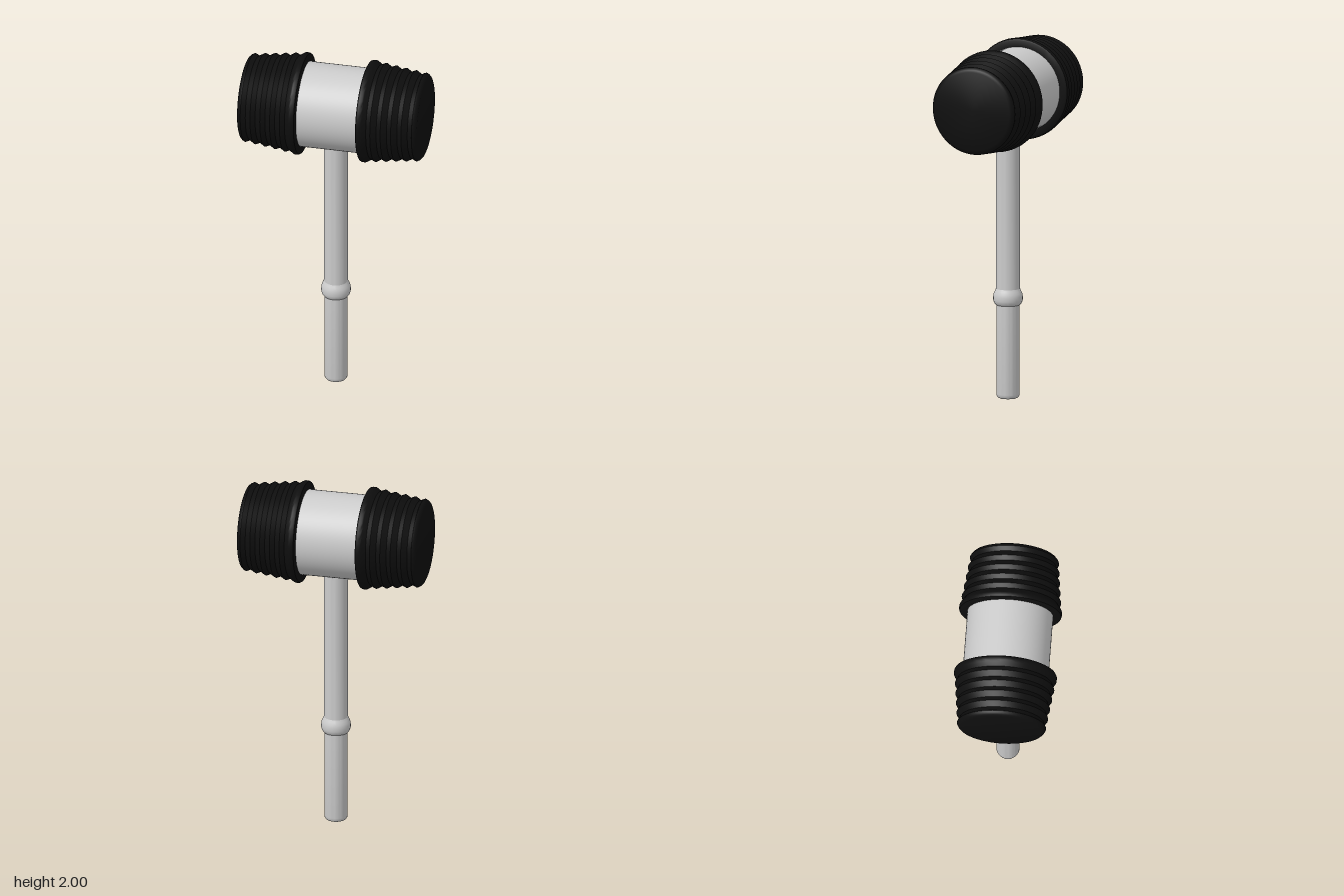
import * as THREE from 'three';
import { toCreasedNormals } from 'three/addons/utils/BufferGeometryUtils.js';

const HEAD_Y = 1.715;

// Turned part from [radius, height] pairs, listed from bottom to top
function turned(name, profile, color, segments = 48) {
  const points = profile.map(([r, h]) => new THREE.Vector2(r, h));
  const geometry = toCreasedNormals(new THREE.LatheGeometry(points, segments), 0.6);
  const mesh = new THREE.Mesh(geometry, new THREE.MeshStandardMaterial({ color }));
  mesh.name = name;
  return mesh;
}

export function createModel() {
  const model = new THREE.Group();
  model.name = 'mallet';
  const grey = 0xcccccc, black = 0x0e0e0e;

  // Handle: rounded butt, grip, bulging collar and shaft
  model.add(turned('grip', [
    [0, 0], [0.05, 0], [0.058, 0.004], [0.063, 0.012], [0.065, 0.025], [0.065, 0.54],
  ], grey));
  model.add(turned('collar', [
    [0.06, 0.525], [0.07, 0.53], [0.078, 0.541], [0.082, 0.556], [0.082, 0.576],
    [0.079, 0.593], [0.072, 0.607], [0.066, 0.62],
  ], grey));
  model.add(turned('shaft', [[0.066, 0.6], [0.066, HEAD_Y - 0.2]], grey));

  // Head barrel lying along x
  const barrel = turned('headBarrel', [[0.239, -0.25], [0.239, 0.25]], grey, 64);
  barrel.rotation.z = -Math.PI / 2;
  barrel.position.y = HEAD_Y;
  model.add(barrel);

  // Rubber cap: rounded rim, tapering saw-tooth ridges, rounded striking face
  const cap = [[0.235, 0.173], [0.274, 0.173], [0.282, 0.177], [0.286, 0.185],
    [0.286, 0.2], [0.282, 0.208]];
  for (let i = 0; i < 5; i++) {
    const x = 0.232 + i * 0.0575;
    const r = 0.265 - i * 0.0072;
    cap.push([r, x], [r + 0.012, x + 0.026]);
  }
  cap.push([0.247, 0.488], [0.243, 0.498], [0.234, 0.507], [0.222, 0.512], [0, 0.512]);

  for (const side of [1, -1]) {
    const mesh = turned(side > 0 ? 'leftCap' : 'rightCap', cap, black, 64);
    mesh.rotation.z = -side * Math.PI / 2;
    mesh.position.y = HEAD_Y;
    model.add(mesh);
  }
  return model;
}
